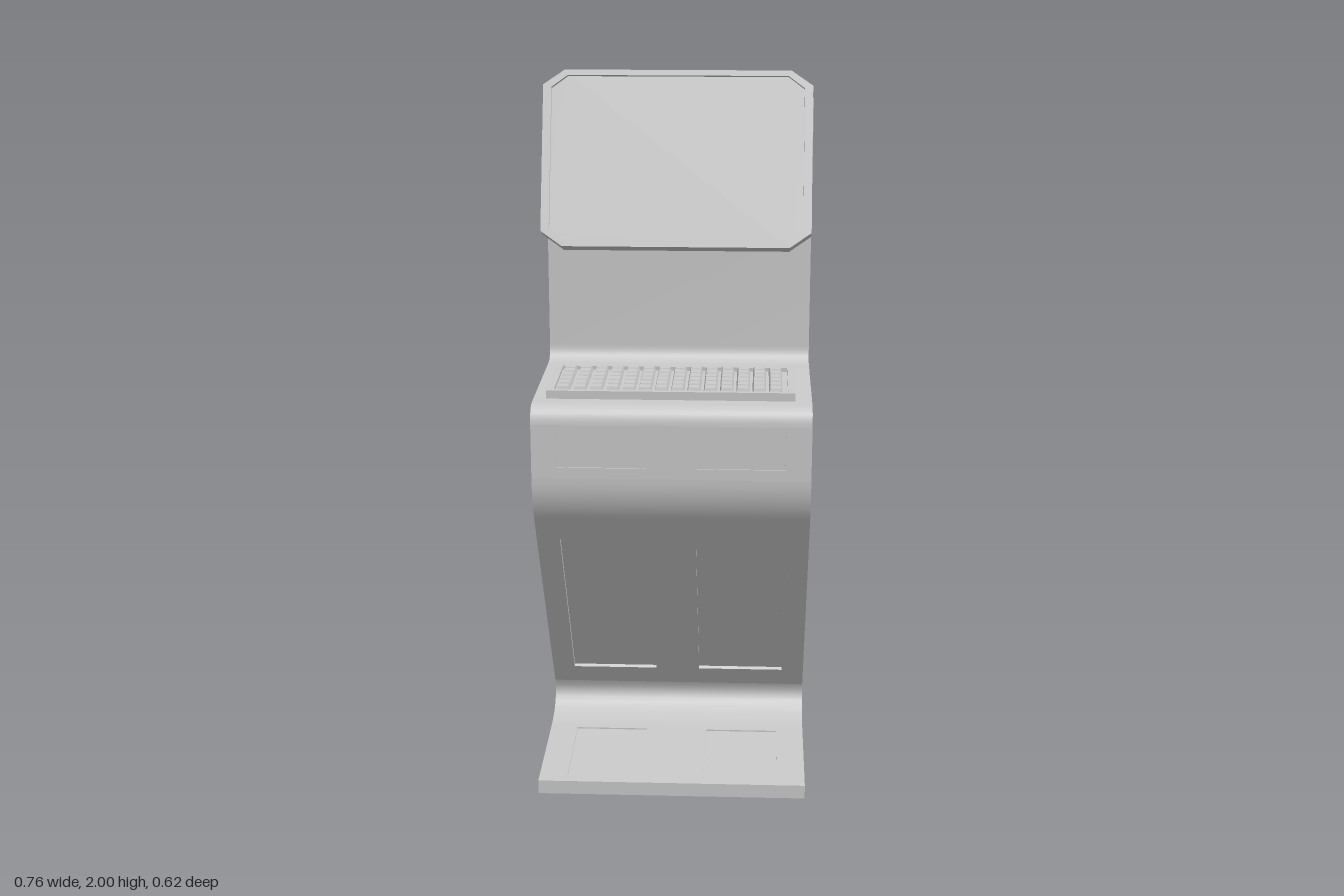
import * as THREE from 'three';
import { toCreasedNormals } from 'three/addons/utils/BufferGeometryUtils.js';

const material = new THREE.MeshStandardMaterial({ color: 0xcccccc });
const HALF = 0.38; // half width of the stand

function addMesh(parent, name, geometry) {
  const mesh = new THREE.Mesh(geometry, material);
  mesh.name = name;
  parent.add(mesh);
  return mesh;
}

function rect(PathType, x0, y0, x1, y1) {
  return new PathType([[x0, y0], [x1, y0], [x1, y1], [x0, y1]].map(([x, y]) => new THREE.Vector2(x, y)));
}

function octagon(PathType, w, h, cx, cy) {
  const pts = [[w, h - cy], [w - cx, h], [cx - w, h], [-w, h - cy], [-w, cy - h], [cx - w, -h], [w - cx, -h], [w, cy - h]];
  return new PathType(pts.map(([x, y]) => new THREE.Vector2(x, y)));
}

function extrude(shape, depth) {
  return new THREE.ExtrudeGeometry(shape, { depth, bevelEnabled: false, curveSegments: 8 });
}

// Turns a (z, y) side profile into a solid centred on x = 0
function extrudeAcross(shape, width) {
  return extrude(shape, width).rotateY(-Math.PI / 2).translate(width / 2, 0, 0);
}

// Faces of the stand with a pair of recessed panels.
// from / to are [z, y]; x and v give the panel extent across and along the face.
const faces = {
  basePanels: { from: [0.31, 0.04], to: [-0.06, 0.04], depth: 0.004, x: [0.09, 0.3], v: [0.08, 0.95] },
  legFrontPanels: { from: [-0.175, 0.135], to: [0.27, 0.82], depth: 0.01, x: [0.065, 0.315], v: [0.095, 0.883] },
  apronPanels: { from: [0.31, 0.95], to: [0.31, 1.1], depth: 0.004, x: [0.07, 0.31], v: [0.2, 0.93] },
  columnBackPanels: { from: [-0.27, 1.91], to: [-0.27, 1.15], depth: 0.015, x: [0.05, 0.33], v: [0.066, 0.908] },
  legBackPanels: { from: [0.18, 0.825], to: [-0.31, 0.05], depth: 0.006, x: [0.05, 0.33], v: [0.045, 0.935] },
};

function faceBasis({ from, to }) {
  const along = new THREE.Vector3(0, to[1] - from[1], to[0] - from[0]);
  const length = along.length();
  along.normalize();
  const across = new THREE.Vector3(1, 0, 0);
  const normal = new THREE.Vector3().crossVectors(across, along);
  return { across, along, normal, length };
}

// Frame with two openings, filling the notch cut into the profile
function panelFrame(face) {
  const { across, along, normal, length } = faceBasis(face);
  const shape = rect(THREE.Shape, -HALF, 0, HALF, length);
  const [x0, x1] = face.x;
  const [v0, v1] = face.v.map((v) => v * length);
  shape.holes.push(rect(THREE.Path, x0, v0, x1, v1), rect(THREE.Path, -x1, v0, -x0, v1));
  const matrix = new THREE.Matrix4().makeBasis(across, along, normal);
  matrix.setPosition(new THREE.Vector3(0, face.from[1], face.from[0]).addScaledVector(normal, -face.depth));
  return extrude(shape, face.depth).applyMatrix4(matrix);
}

function standProfile() {
  const s = new THREE.Shape();
  const notch = (face) => {
    const { normal } = faceBasis(face);
    const dz = normal.z * face.depth, dy = normal.y * face.depth;
    s.lineTo(...face.from);
    s.lineTo(face.from[0] - dz, face.from[1] - dy);
    s.lineTo(face.to[0] - dz, face.to[1] - dy);
    s.lineTo(...face.to);
  };
  s.moveTo(0.31, 0);
  notch(faces.basePanels);
  s.bezierCurveTo(-0.15, 0.04, -0.215, 0.075, -0.175, 0.135);
  notch(faces.legFrontPanels);
  s.quadraticCurveTo(0.31, 0.88, 0.31, 0.95);
  notch(faces.apronPanels);
  s.quadraticCurveTo(0.31, 1.15, 0.26, 1.15);
  s.lineTo(-0.165, 1.15);
  s.quadraticCurveTo(-0.21, 1.15, -0.21, 1.195);
  s.lineTo(-0.21, 1.91);
  notch(faces.columnBackPanels);
  s.quadraticCurveTo(-0.27, 1.09, -0.21, 1.09);
  s.lineTo(0.22, 1.09);
  s.lineTo(0.22, 0.95);
  s.quadraticCurveTo(0.22, 0.89, 0.18, 0.825);
  notch(faces.legBackPanels);
  s.lineTo(-0.31, 0);
  return s;
}

function createStand() {
  const stand = new THREE.Group();
  stand.name = 'stand';
  addMesh(stand, 'standBody', toCreasedNormals(extrudeAcross(standProfile(), HALF * 2), 0.5));
  for (const [name, face] of Object.entries(faces)) addMesh(stand, name, panelFrame(face));
  return stand;
}

function createKeyboard() {
  const keyboard = new THREE.Group();
  keyboard.name = 'keyboard';
  keyboard.position.set(-0.005, 1.15, 0.0825);
  addMesh(keyboard, 'keyboardTray', new THREE.BoxGeometry(0.68, 0.012, 0.285).translate(0, 0.006, 0));

  // Raised rim around the keys
  const rim = rect(THREE.Shape, -0.34, -0.1425, 0.34, 0.1425);
  rim.holes.push(rect(THREE.Path, -0.32, -0.1275, 0.32, 0.1225));
  addMesh(keyboard, 'keyboardRim', extrude(rim, 0.011).rotateX(-Math.PI / 2).translate(0, 0.012, 0));

  // Tapered square keys
  const keyGeometry = new THREE.CylinderGeometry(0.0145 * Math.SQRT2, 0.0185 * Math.SQRT2, 0.015, 4)
    .rotateY(Math.PI / 4).toNonIndexed();
  keyGeometry.computeVertexNormals();
  const columns = 14, rows = 6;
  for (let r = 0; r < rows; r++) {
    for (let c = 0; c < columns; c++) {
      const key = addMesh(keyboard, 'key', keyGeometry);
      key.position.set(-0.005 + (c - (columns - 1) / 2) * 0.0448, 0.0195, -0.0065 + (r - (rows - 1) / 2) * 0.041);
    }
  }
  return keyboard;
}

function createMonitor() {
  const monitor = new THREE.Group();
  monitor.name = 'monitor';
  monitor.position.set(0, 1.756, -0.081);
  monitor.rotation.x = -THREE.MathUtils.degToRad(20);

  // Casing, with a bezel standing proud of the screen
  addMesh(monitor, 'monitorCasing', extrude(octagon(THREE.Shape, 0.375, 0.2475, 0.06, 0.042), 0.055).translate(0, 0, -0.034));
  const bezel = octagon(THREE.Shape, 0.375, 0.2475, 0.06, 0.042);
  bezel.holes.push(octagon(THREE.Path, 0.352, 0.232, 0.045, 0.034));
  addMesh(monitor, 'screenBezel', extrude(bezel, 0.013).translate(0, 0, 0.021));
  return monitor;
}

// Wedge joining the monitor to the column
function createMount() {
  const wedge = new THREE.Shape([[-0.05, 1.59], [-0.212, 1.525], [-0.212, 1.875], [-0.16, 1.9]]
    .map(([z, y]) => new THREE.Vector2(z, y)));
  return extrudeAcross(wedge, 0.5);
}

export function createModel() {
  const model = new THREE.Group();
  model.name = 'kiosk';
  model.add(createStand(), createKeyboard(), createMonitor());
  addMesh(model, 'monitorMount', createMount());
  return model;
}
